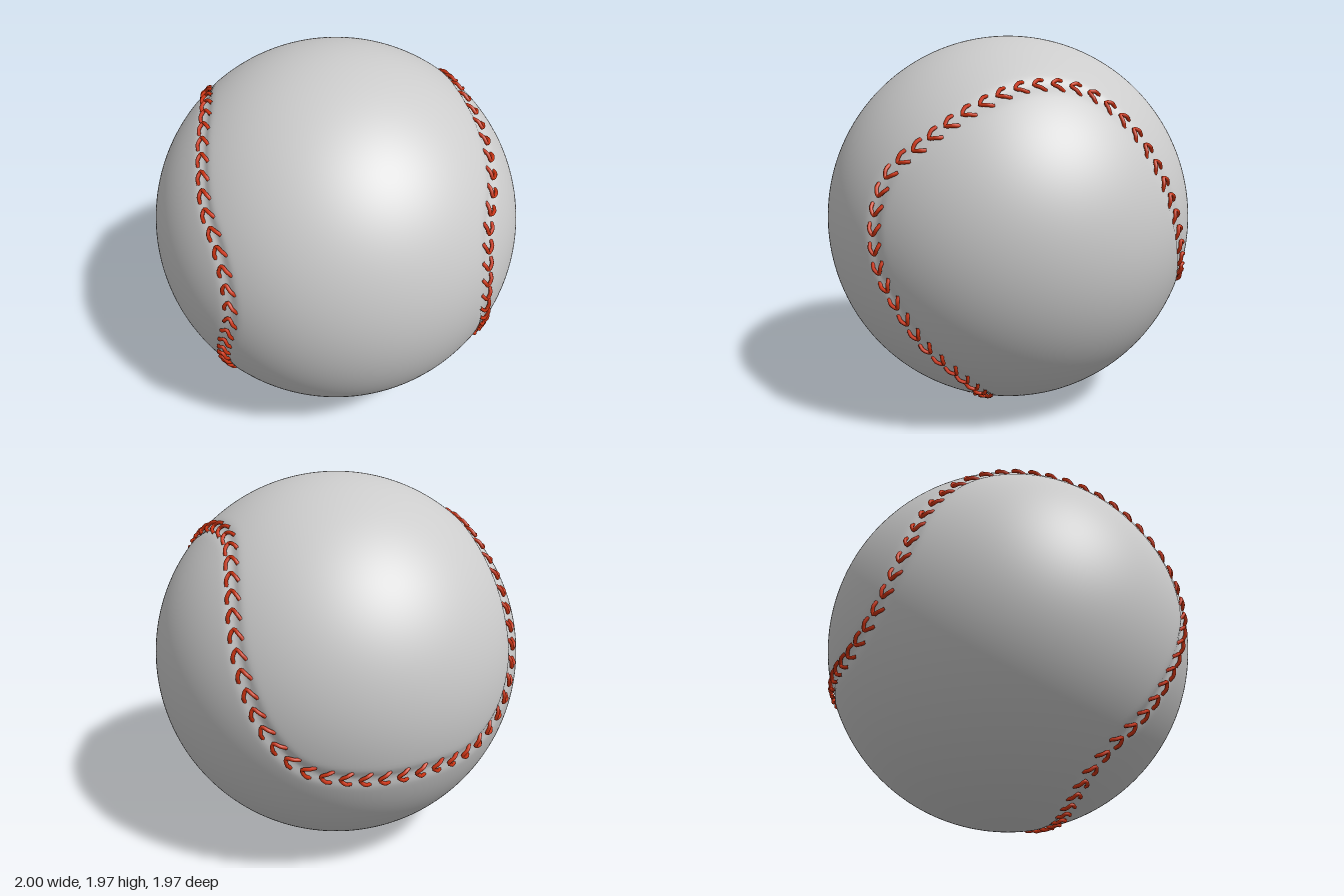
import * as THREE from 'three';
import { mergeGeometries, mergeVertices } from 'three/addons/utils/BufferGeometryUtils.js';

const RADIUS = 0.985;
const CENTRE = new THREE.Vector3(-0.015, 0.995, -0.005);
const STITCHES = 102;

// Directions from the centre along the closed seam
const SEAM = [
  [-0.915, 0.35, 0.2], [-0.695, 0.648, 0.31], [-0.41, 0.751, 0.517], [-0.188, 0.67, 0.718],
  [0.015, 0.492, 0.87], [0.147, 0.37, 0.917], [0.233, 0.208, 0.95], [0.254, 0.025, 0.967],
  [0.198, -0.147, 0.969], [0.096, -0.38, 0.92], [0.015, -0.553, 0.833], [-0.081, -0.726, 0.683],
  [-0.071, -0.838, 0.541], [0.036, -0.929, 0.368], [0.244, -0.964, 0.106], [0.405, -0.888, -0.218],
  [0.542, -0.787, -0.294], [0.691, -0.655, -0.305], [0.843, -0.482, -0.239], [0.945, -0.279, -0.168],
  [0.993, -0.076, -0.086], [0.975, 0.208, -0.076], [0.92, 0.37, -0.127], [0.834, 0.492, -0.249],
  [0.641, 0.655, -0.4], [0.403, 0.751, -0.523], [0.19, 0.731, -0.655], [0.047, 0.592, -0.806],
  [-0.135, 0.21, -0.968], [-0.265, -0.068, -0.962], [-0.409, -0.244, -0.88], [-0.626, -0.304, -0.719],
  [-0.828, -0.3, -0.473], [-0.942, -0.268, -0.204], [-0.992, -0.124, 0.011], [-0.983, 0.114, 0.149],
];

function makeSeamCurve() {
  const points = SEAM.map((p) => new THREE.Vector3(...p).normalize());
  const curve = new THREE.CatmullRomCurve3(points, true, 'centripetal');
  curve.arcLengthDivisions = 1200;
  return curve;
}

// Smooth ball with a shallow groove pressed in along the seam
function makeBall(curve) {
  const samples = curve.getSpacedPoints(400).map((p) => p.normalize());
  let geo = new THREE.SphereGeometry(1, 300, 150);
  geo.deleteAttribute('uv');
  geo.deleteAttribute('normal');
  geo = mergeVertices(geo, 1e-5);
  const pos = geo.attributes.position;
  const v = new THREE.Vector3();
  for (let i = 0; i < pos.count; i++) {
    v.fromBufferAttribute(pos, i).normalize();
    let nearest = 4;
    for (const s of samples) nearest = Math.min(nearest, v.distanceToSquared(s));
    v.multiplyScalar(RADIUS - 0.013 * Math.exp(-nearest / (0.032 * 0.032)));
    pos.setXYZ(i, v.x, v.y, v.z);
  }
  geo.computeVertexNormals();
  return geo;
}

// One arched V of thread straddling the seam at parameter u
function makeStitch(curve, u) {
  const normal = curve.getPointAt(u).normalize();
  const along = curve.getTangentAt(u);
  along.addScaledVector(normal, -along.dot(normal)).normalize();
  const across = new THREE.Vector3().crossVectors(normal, along);
  const at = (side, forward, lift) => normal.clone().multiplyScalar(RADIUS + lift)
    .addScaledVector(across, side).addScaledVector(along, forward);
  const path = new THREE.CatmullRomCurve3([
    at(-0.036, 0.034, -0.008), at(-0.025, 0.008, 0.008), at(0, -0.02, 0.006),
    at(0.025, 0.008, 0.008), at(0.036, 0.034, -0.008),
  ]);
  return new THREE.TubeGeometry(path, 14, 0.0095, 7, false);
}

export function createModel() {
  const group = new THREE.Group();
  group.name = 'stitchedBall';
  const curve = makeSeamCurve();

  const ball = new THREE.Mesh(makeBall(curve), new THREE.MeshStandardMaterial({ color: 0xcccccc }));
  ball.name = 'leatherBall';

  const threads = [];
  for (let i = 0; i < STITCHES; i++) threads.push(makeStitch(curve, i / STITCHES));
  const stitching = new THREE.Mesh(mergeGeometries(threads), new THREE.MeshStandardMaterial({ color: 0xcc3311 }));
  stitching.name = 'seamStitching';

  for (const mesh of [ball, stitching]) {
    mesh.position.copy(CENTRE);
    group.add(mesh);
  }
  return group;
}
